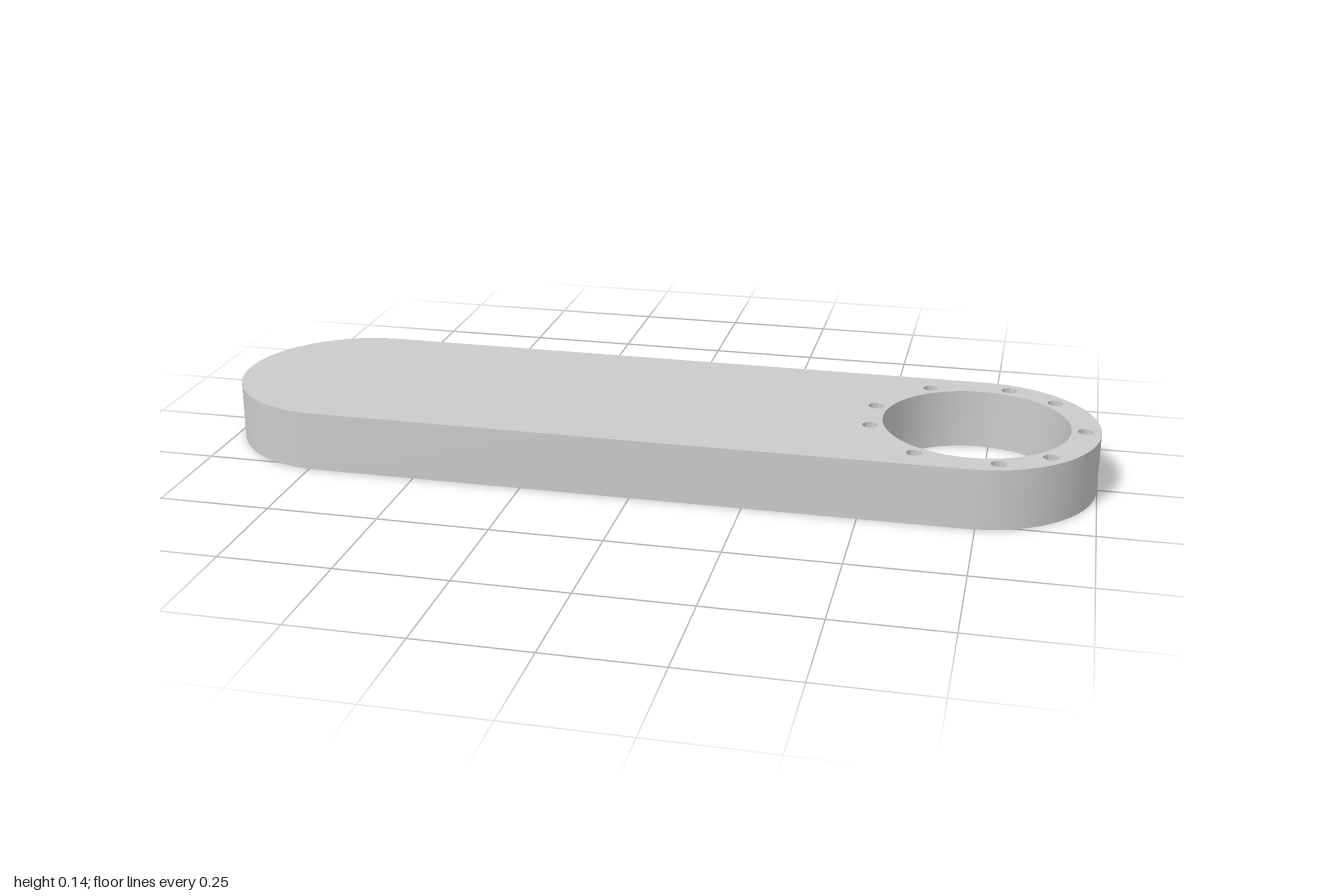
import * as THREE from 'three';
import { toCreasedNormals } from 'three/addons/utils/BufferGeometryUtils.js';

const HEIGHT = 0.136, HALF_WIDTH = 0.272, END_X = 0.728;
const BORE_RADIUS = 0.207, BOLT_CIRCLE = 0.237, BOLT_RADIUS = 0.017;
const POCKET_DEPTH = 0.075, COUNTERBORE_RADIUS = 0.024, COUNTERBORE_DEPTH = 0.075;
const BLIND_FLOOR = 0.066, SEGMENTS = 24;

// Plan shapes are drawn with x to the left side and y towards the back (-z)
function circle(x, y, r) {
  return new THREE.Shape().absarc(x, y, r, 0, Math.PI * 2, false);
}

function boltHole(degrees, r) {
  const a = THREE.MathUtils.degToRad(degrees);
  return circle(END_X + BOLT_CIRCLE * Math.cos(a), BOLT_CIRCLE * Math.sin(a), r);
}

function slab() {
  const s = new THREE.Shape();
  s.absarc(END_X, 0, HALF_WIDTH, -Math.PI / 2, Math.PI / 2, false);
  s.absarc(-END_X, 0, HALF_WIDTH, Math.PI / 2, Math.PI * 1.5, false);
  s.closePath();
  return s;
}

// Long pocket whose ends curve around the two end centres, with rounded corners
function pocket(side) {
  const R = 0.305, inner = 0.03, outer = 0.215, trim = 0.022;
  const a0 = Math.asin(inner / R), a1 = Math.asin(outer / R), da = trim / R;
  const onArc = (end, a) => [end * (END_X - R * Math.cos(a)), side * R * Math.sin(a)];
  const s = new THREE.Shape();
  const [xi] = onArc(1, a0), [xo] = onArc(1, a1);
  const yi = side * inner, yo = side * outer;
  s.moveTo(-xi + trim, yi);
  s.lineTo(xi - trim, yi);
  s.quadraticCurveTo(xi, yi, ...onArc(1, a0 + da));
  for (let i = 1; i <= 10; i++) {
    s.lineTo(...onArc(1, THREE.MathUtils.lerp(a0 + da, a1 - da, i / 10)));
  }
  s.quadraticCurveTo(xo, yo, xo - trim, yo);
  s.lineTo(-xo + trim, yo);
  s.quadraticCurveTo(-xo, yo, ...onArc(-1, a1 - da));
  for (let i = 1; i <= 10; i++) {
    s.lineTo(...onArc(-1, THREE.MathUtils.lerp(a1 - da, a0 + da, i / 10)));
  }
  s.quadraticCurveTo(-xi, yi, -xi + trim, yi);
  return s;
}

// Flat face at height y, facing up or down
function cap(shape, holes, y, down = false) {
  const s = shape.clone();
  s.holes = holes;
  const geo = new THREE.ShapeGeometry(s, SEGMENTS);
  geo.rotateX(-Math.PI / 2).translate(0, y, 0);
  if (down) {
    geo.index.array.reverse();
    const n = geo.attributes.normal;
    for (let i = 0; i < n.count; i++) n.setXYZ(i, 0, -1, 0);
  }
  return geo;
}

// Upright wall along an outline; inward walls line a hole
function wall(shape, y0, y1, inward = true) {
  let pts = shape.getPoints(SEGMENTS);
  pts = pts.filter((p, i) => p.distanceTo(pts[(i + 1) % pts.length]) > 1e-5);
  if (THREE.ShapeUtils.isClockWise(pts) !== inward) pts.reverse();
  const pos = [];
  pts.forEach((a, i) => {
    const b = pts[(i + 1) % pts.length];
    const A = [a.x, y0, -a.y], B = [b.x, y0, -b.y];
    const C = [b.x, y1, -b.y], D = [a.x, y1, -a.y];
    pos.push(...A, ...B, ...C, ...A, ...C, ...D);
  });
  const geo = new THREE.BufferGeometry();
  geo.setAttribute('position', new THREE.Float32BufferAttribute(pos, 3));
  return toCreasedNormals(geo, 0.6);
}

export function createModel() {
  const model = new THREE.Group();
  model.name = 'linkArm';
  const material = new THREE.MeshStandardMaterial({ color: 0xcccccc });
  const add = (name, geo) => {
    const mesh = new THREE.Mesh(geo, material);
    mesh.name = name;
    model.add(mesh);
  };

  const body = slab();
  const bore = circle(END_X, 0, BORE_RADIUS);
  const pockets = [1, -1].map(pocket);
  const screwAngles = [0, 120, 240], pinAngles = [75, 195, 315], blindAngles = [45, 165, 285];
  const holesAt = (angles, r) => angles.map((a) => boltHole(a, r));
  const screws = holesAt(screwAngles, BOLT_RADIUS);
  const counterbores = holesAt(screwAngles, COUNTERBORE_RADIUS);
  const pins = holesAt(pinAngles, BOLT_RADIUS);
  const blinds = holesAt(blindAngles, BOLT_RADIUS);

  // Body faces and rim
  add('topFace', cap(body, [bore, ...screws, ...pins, ...blinds], HEIGHT));
  add('bottomFace', cap(body, [bore, ...counterbores, ...pins, ...pockets], 0, true));
  add('outerWall', wall(body, 0, HEIGHT, false));
  add('mainBore', wall(bore, 0, HEIGHT));

  // Underside pockets
  pockets.forEach((p) => {
    add('pocketWall', wall(p, 0, POCKET_DEPTH));
    add('pocketFloor', cap(p, [], POCKET_DEPTH, true));
  });

  // Counterbored screw holes
  screws.forEach((s, i) => {
    add('counterbore', wall(counterbores[i], 0, COUNTERBORE_DEPTH));
    add('counterboreLedge', cap(counterbores[i], [s], COUNTERBORE_DEPTH, true));
    add('screwHole', wall(s, COUNTERBORE_DEPTH, HEIGHT));
  });

  // Plain through holes and blind holes
  pins.forEach((p) => add('throughHole', wall(p, 0, HEIGHT)));
  blinds.forEach((b) => {
    add('blindHole', wall(b, BLIND_FLOOR, HEIGHT));
    add('blindHoleFloor', cap(b, [], BLIND_FLOOR));
  });

  return model;
}
